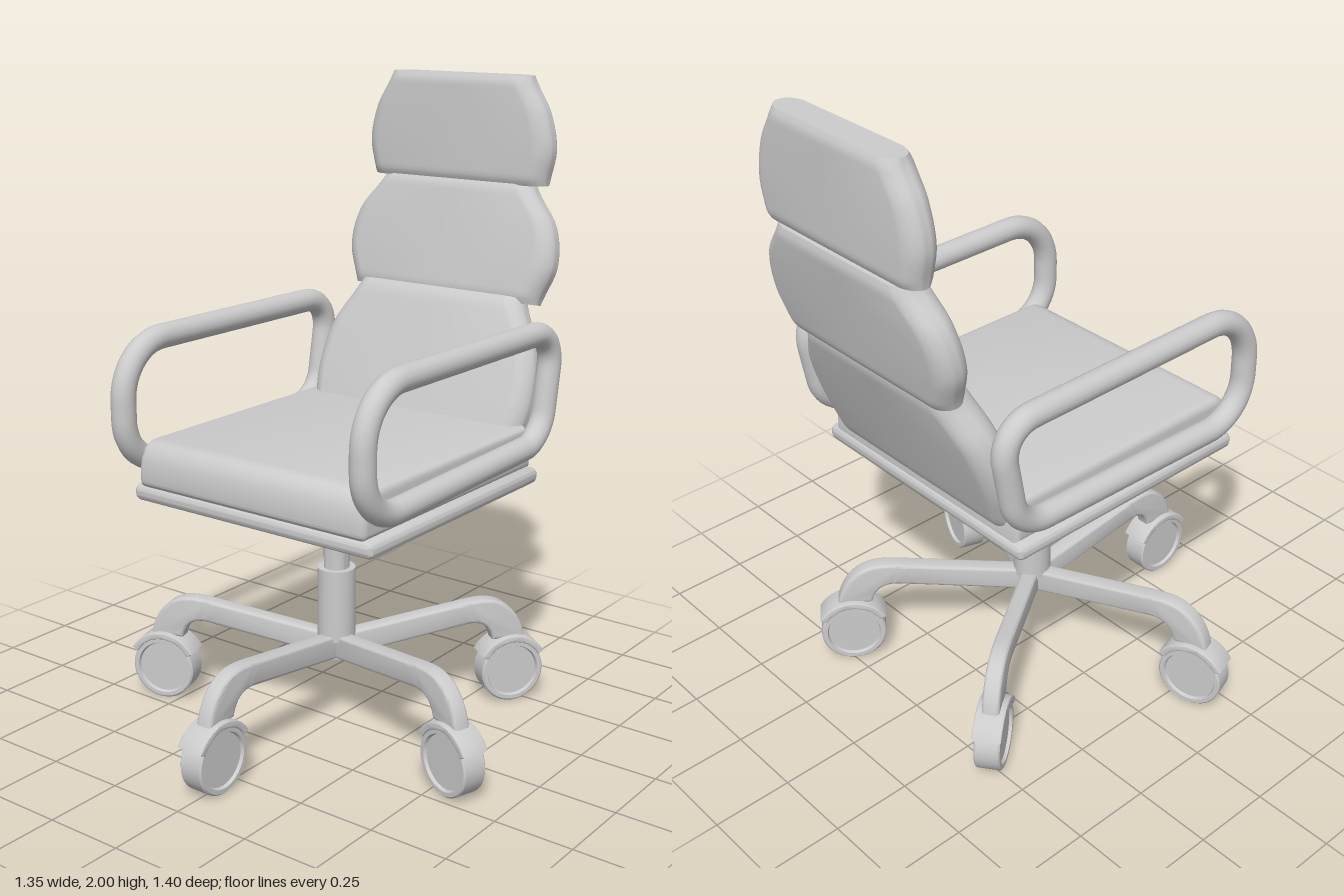
import * as THREE from 'three';
import { toCreasedNormals } from 'three/addons/utils/BufferGeometryUtils.js';
import { RoundedBoxGeometry } from 'three/addons/geometries/RoundedBoxGeometry.js';

const grey = new THREE.MeshStandardMaterial({ color: 0xcccccc });
const v2 = (x, y) => new THREE.Vector2(x, y);

function part(name, geometry, crease = 0.6) {
  const mesh = new THREE.Mesh(toCreasedNormals(geometry, crease), grey);
  mesh.name = name;
  return mesh;
}

function cylinder(name, r, y0, y1) {
  const mesh = part(name, new THREE.CylinderGeometry(r, r, y1 - y0, 32));
  mesh.position.y = (y0 + y1) / 2;
  return mesh;
}

// Extrusion centred on its depth, with a rounded bevel inside the given depth
function slab(shape, depth, bevel, curveSegments = 10) {
  const geo = new THREE.ExtrudeGeometry(shape, {
    depth: depth - 2 * bevel, bevelSize: bevel, bevelThickness: bevel,
    bevelOffset: -bevel, bevelSegments: 3, curveSegments,
  });
  return geo.translate(0, 0, -depth / 2 + bevel);
}

// Barrel-shaped pad: half-widths run from bottom to top, ends are [z, y]
function backPad(name, bottom, top, halfDepth, halfWidths) {
  const [z0, y0] = bottom, [z1, y1] = top;
  const length = Math.hypot(z1 - z0, y1 - y0);
  const outline = new THREE.SplineCurve(halfWidths.map((w, i) => v2(w, i)));
  const geo = new THREE.CylinderGeometry(1, 1, 1, 40, 28);
  const pos = geo.attributes.position;
  const side = 0.065;
  for (let i = 0; i < pos.count; i++) {
    const s = pos.getX(i), c = pos.getZ(i), t = pos.getY(i) + 0.5;
    const w = outline.getPoint(t).x;
    const end = Math.max(0, 1 - Math.min(t, 1 - t) / 0.09);
    const soft = 1 - 0.2 * end * end;
    const sign = Math.abs(s) < 1e-6 ? 0 : Math.sign(s);
    pos.setXYZ(i, sign * (w - side) + side * s, (t - 0.5) * length, halfDepth * soft * c);
  }
  const mesh = part(name, geo, 0.7);
  mesh.position.set(0.015, (y0 + y1) / 2, (z0 + z1) / 2);
  mesh.rotation.x = Math.atan2(z1 - z0, y1 - y0);
  return mesh;
}

// Closed path of [z, y] corners, each rounded by its own radius
function armPath(corners) {
  const path = new THREE.CurvePath();
  const n = corners.length;
  const point = ([z, y]) => new THREE.Vector3(0, y, z);
  const toward = (a, b, r) => {
    const d = b.clone().sub(a);
    return a.clone().addScaledVector(d.normalize(), r);
  };
  let last = null, first = null;
  for (let i = 0; i < n; i++) {
    const p = point(corners[i]);
    const a = toward(p, point(corners[(i + n - 1) % n]), corners[i][2]);
    const b = toward(p, point(corners[(i + 1) % n]), corners[i][2]);
    if (last) path.add(new THREE.LineCurve3(last, a));
    else first = a;
    // Cubic handles give a near-circular corner
    path.add(new THREE.CubicBezierCurve3(a, a.clone().lerp(p, 0.56), b.clone().lerp(p, 0.56), b));
    last = b;
  }
  path.add(new THREE.LineCurve3(last, first));
  return path;
}

function makeCaster() {
  const caster = new THREE.Group();
  caster.name = 'caster';
  // Wheel with a recessed disc on both faces
  const profile = [[0, -0.03], [0.083, -0.03], [0.087, -0.04], [0.1, -0.04], [0.105, -0.035],
    [0.105, 0.035], [0.1, 0.04], [0.087, 0.04], [0.083, 0.03], [0, 0.03]];
  const wheel = part('casterWheel', new THREE.LatheGeometry(profile.map(p => v2(...p)), 40));
  wheel.rotation.x = Math.PI / 2;
  caster.add(wheel);
  // Curved hood over the wheel
  const hood = new THREE.Shape();
  const a = 0.52;
  hood.absarc(0, 0, 0.122, a, Math.PI - a, false);
  hood.absarc(0, 0, 0.1, Math.PI - a, a, true);
  caster.add(part('casterHood', slab(hood, 0.09, 0.004, 20)));
  caster.position.set(0.59, 0.105, 0);
  return caster;
}

function makeLeg() {
  const leg = new THREE.Group();
  leg.name = 'baseLeg';
  // Rising arm that bends down onto the caster
  const s = new THREE.Shape();
  s.moveTo(0, 0.22);
  s.lineTo(0.44, 0.28);
  s.quadraticCurveTo(0.51, 0.285, 0.525, 0.215);
  s.lineTo(0.635, 0.215);
  s.bezierCurveTo(0.625, 0.29, 0.57, 0.357, 0.49, 0.357);
  s.quadraticCurveTo(0.45, 0.357, 0.4, 0.349);
  s.lineTo(0, 0.297);
  leg.add(part('legArm', slab(s, 0.054, 0.01)));
  leg.add(makeCaster());
  return leg;
}

export function createModel() {
  const chair = new THREE.Group();
  chair.name = 'officeChair';

  // Five-legged base, one leg pointing forward
  for (let i = 0; i < 5; i++) {
    const leg = makeLeg();
    leg.rotation.y = -Math.PI / 2 + (i * 2 * Math.PI) / 5;
    chair.add(leg);
  }
  chair.add(cylinder('baseHub', 0.035, 0.218, 0.31));
  chair.add(cylinder('columnSleeve', 0.06, 0.285, 0.52));
  chair.add(cylinder('gasLift', 0.04, 0.5, 0.79));

  // Seat pan and cushion
  const pan = part('seatPan', new RoundedBoxGeometry(0.89, 0.052, 0.89, 3, 0.022));
  pan.position.set(0.015, 0.796, 0.005);
  chair.add(pan);
  const c = new THREE.Shape();
  c.moveTo(-0.43, 0.818);
  c.lineTo(0.435, 0.818);
  c.quadraticCurveTo(0.452, 0.82, 0.452, 0.845);
  c.bezierCurveTo(0.452, 0.92, 0.43, 0.957, 0.38, 0.957);
  c.lineTo(-0.4, 0.957);
  c.lineTo(-0.43, 0.9);
  const cushion = part('seatCushion', slab(c, 0.84, 0.02));
  cushion.rotation.y = -Math.PI / 2;
  cushion.position.x = 0.015;
  chair.add(cushion);

  // Three stacked back pads
  chair.add(backPad('lowerBackPad', [-0.385, 0.86], [-0.555, 1.315], 0.062, [0.385, 0.41, 0.39, 0.31]));
  chair.add(backPad('middleBackPad', [-0.57, 1.3], [-0.645, 1.665], 0.056, [0.35, 0.39, 0.368, 0.28]));
  chair.add(backPad('headPad', [-0.643, 1.665], [-0.646, 2.0], 0.054, [0.325, 0.345, 0.32, 0.26]));

  // Looped tube armrests
  const loop = armPath([
    [0.477, 1.253, 0.17], [-0.515, 1.248, 0.12], [-0.452, 0.9, 0.1], [0.477, 0.878, 0.15],
  ]);
  for (const [name, x] of [['leftArmrest', 0.45], ['rightArmrest', -0.43]]) {
    const arm = part(name, new THREE.TubeGeometry(loop, 140, 0.038, 16, true), 1);
    arm.position.x = x;
    chair.add(arm);
  }
  return chair;
}
